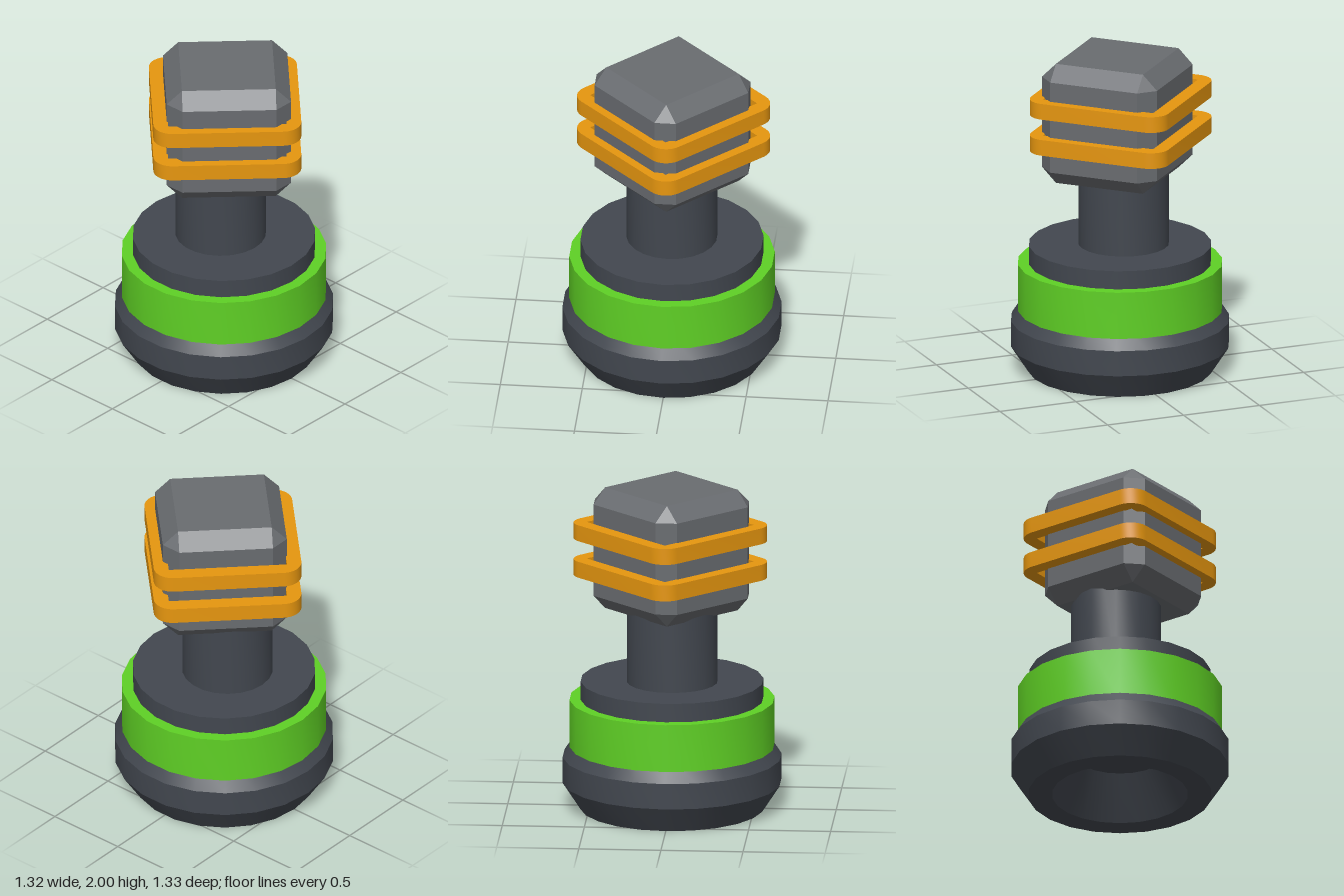
import * as THREE from 'three';
import { toCreasedNormals } from 'three/addons/utils/BufferGeometryUtils.js';
import { ConvexGeometry } from 'three/addons/geometries/ConvexGeometry.js';

const SIDES = 22;

const mat = (name, color) => {
  const m = new THREE.MeshStandardMaterial({ color });
  m.name = name;
  return m;
};

// turned part with crisp profile edges; profile runs bottom to top on the outside
function turned(profile) {
  const pts = profile.map(([r, y]) => new THREE.Vector2(r, y));
  return toCreasedNormals(new THREE.LatheGeometry(pts, SIDES), 0.5);
}

// box with every edge cut at 45 degrees: three points at each corner
function chamferedBox(h, hy, b) {
  const pts = [];
  for (const x of [-1, 1]) for (const y of [-1, 1]) for (const z of [-1, 1]) {
    pts.push(new THREE.Vector3(x * h, y * (hy - b), z * (h - b)));
    pts.push(new THREE.Vector3(x * (h - b), y * hy, z * (h - b)));
    pts.push(new THREE.Vector3(x * (h - b), y * (hy - b), z * h));
  }
  return new ConvexGeometry(pts);
}

// flat square band with rounded outer corners and a square hole
function squareBand(outer, inner, r, thickness) {
  const s = new THREE.Shape();
  const c = outer - r;
  s.absarc(c, c, r, 0, Math.PI / 2);
  s.absarc(-c, c, r, Math.PI / 2, Math.PI);
  s.absarc(-c, -c, r, Math.PI, Math.PI * 1.5);
  s.absarc(c, -c, r, Math.PI * 1.5, Math.PI * 2);
  s.closePath();
  const hole = new THREE.Path();
  hole.moveTo(-inner, -inner);
  hole.lineTo(-inner, inner);
  hole.lineTo(inner, inner);
  hole.lineTo(inner, -inner);
  hole.closePath();
  s.holes.push(hole);
  const g = new THREE.ExtrudeGeometry(s, { depth: thickness, bevelEnabled: false, curveSegments: 5 });
  g.rotateX(-Math.PI / 2);
  return toCreasedNormals(g, 0.6);
}

export function createModel() {
  const model = new THREE.Group();
  const dark = mat('charcoal', 0x42474f);
  const green = mat('green', 0x5fd025);
  const grey = mat('grey', 0x696c70);
  const orange = mat('orange', 0xe6960f);

  const add = (name, geometry, material, x = 0, y = 0, z = 0, turn = 0) => {
    const mesh = new THREE.Mesh(geometry, material);
    mesh.name = name;
    mesh.position.set(x, y, z);
    mesh.rotation.y = turn;
    model.add(mesh);
  };

  // bulging foot with a tapered hollow underneath
  add('base', turned([[0, 0.27], [0.28, 0.27], [0.415, 0], [0.56, 0], [0.667, 0.165],
    [0.667, 0.325], [0.56, 0.49], [0, 0.49]]), dark);

  // coloured collar and the disc rising out of it
  add('collar', turned([[0.5, 0.35], [0.625, 0.35], [0.625, 0.685], [0.5, 0.685]]), green);
  add('disc', turned([[0.557, 0.45], [0.557, 0.8], [0, 0.8]]), dark);

  // neck
  add('neck', turned([[0.277, 0.75], [0.277, 1.3], [0, 1.3]]), dark, -0.003, 0, -0.025);

  // chamfered head, turned corner-forward
  add('head', chamferedBox(0.378, 0.38, 0.0925), grey, 0.005, 1.62, 0.02, Math.PI / 4);

  // two bands around the head
  for (const [name, y] of [['lowerBand', 1.455], ['upperBand', 1.685]]) {
    add(name, squareBand(0.45, 0.36, 0.115, 0.1), orange, 0.01, y, 0, Math.PI / 4);
  }
  return model;
}
